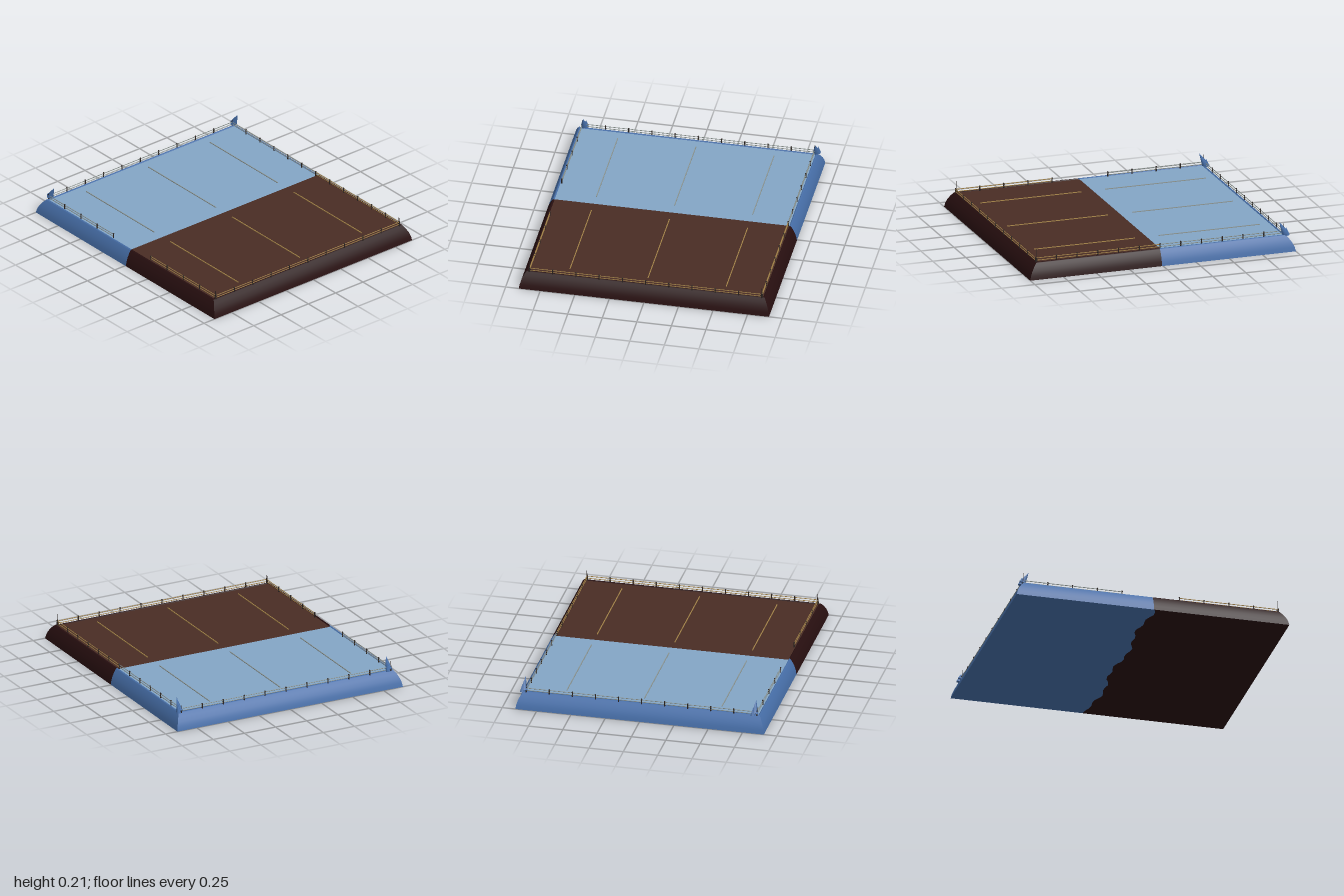
import * as THREE from 'three';

const mat = (name, color) => {
  const m = new THREE.MeshStandardMaterial({ color, side: THREE.DoubleSide });
  m.name = name;
  return m;
};

export function createModel() {
  const group = new THREE.Group();
  const iceDeck = mat('pale blue', 0x83a5c6);
  const iceWall = mat('blue', 0x476fa9);
  const fireDeck = mat('brown', 0x492d24);
  const fireWall = mat('dark maroon', 0x280f10);
  const gold = mat('gold', 0xa58448);
  const silver = mat('silver grey', 0x8b9490);
  const iron = mat('dark iron', 0x2b2320);

  const add = (name, geo, material, x = 0, y = 0, z = 0) => {
    const m = new THREE.Mesh(geo, material);
    m.name = name;
    m.position.set(x, y, z);
    group.add(m);
    return m;
  };
  // thin round bar between two points
  const bar = (name, a, b, r, material) => {
    const d = b.clone().sub(a);
    const c = a.clone().add(b).multiplyScalar(0.5);
    const m = add(name, new THREE.CylinderGeometry(r, r, d.length(), 6), material, c.x, c.y, c.z);
    m.quaternion.setFromUnitVectors(new THREE.Vector3(0, 1, 0), d.normalize());
  };
  const V = (x, y, z) => new THREE.Vector3(x, y, z);

  // Curved wall profile: [inset in x, inset in z, height]
  const profile = [[0, 0, 0], [0.007, 0.005, 0.03], [0.02, 0.014, 0.06], [0.04, 0.028, 0.09],
    [0.06, 0.042, 0.112], [0.066, 0.046, 0.117], [0.074, 0.054, 0.117], [0.078, 0.058, 0.108]];
  const X = 1, Z = 0.905, seam = 0.008;

  // One wall panel swept along the profile between two plan corners
  const wall = (name, corners, material) => {
    const pos = [], idx = [];
    profile.forEach(([ix, iz, y], i) => {
      for (const [x, z] of corners) {
        const px = Math.abs(x) === X ? x - Math.sign(x) * ix : x;
        pos.push(px, y, z - Math.sign(z) * iz);
      }
      if (i) {
        const a = 2 * i - 2;
        idx.push(a, a + 1, a + 3, a, a + 3, a + 2);
      }
    });
    const g = new THREE.BufferGeometry();
    g.setAttribute('position', new THREE.Float32BufferAttribute(pos, 3));
    g.setIndex(idx);
    g.computeVertexNormals();
    add(name, g, material);
  };

  // Irregular seam under the base
  const seamX = (z) => 0.02 * Math.sin(z * 9) + 0.012 * Math.sin(z * 31 + 1);

  for (const s of [-1, 1]) {
    const side = s < 0 ? 'ice' : 'fire';
    const wallMat = s < 0 ? iceWall : fireWall;
    const trim = s < 0 ? silver : gold;

    // walls, ordered so that they face outward
    const front = [[seam, Z], [s * X, Z]], back = [[s * X, -Z], [seam, -Z]];
    wall(side + 'FrontWall', s > 0 ? front : front.reverse(), wallMat);
    wall(side + 'BackWall', s > 0 ? back : back.reverse(), wallMat);
    wall(side + 'SideWall', [[s * X, s * Z], [s * X, -s * Z]], wallMat);

    // deck
    const deck = add(side + 'Deck', new THREE.PlaneGeometry(0.93, 2 * 0.853), s < 0 ? iceDeck : fireDeck,
      s * 0.465, 0.112, 0);
    deck.rotation.x = -Math.PI / 2;

    // underside
    const shape = new THREE.Shape();
    shape.moveTo(s * X, -Z);
    for (let i = 0; i <= 40; i++) {
      const z = -Z + 2 * Z * i / 40;
      shape.lineTo(seamX(z), z);
    }
    shape.lineTo(s * X, Z);
    add(side + 'Underside', new THREE.ShapeGeometry(shape), wallMat).rotation.x = Math.PI / 2;

    // inlaid deck lines
    for (const z of [-0.565, 0, 0.565]) {
      add(side + 'DeckLine', new THREE.BoxGeometry(0.76, 0.006, 0.006), trim, s * 0.47, 0.114, z);
    }

    // railings: side, back half, and front half with a central entrance
    const rx = s * 0.937, rz = 0.84;
    const runs = [
      [V(rx, 0, rz), V(rx, 0, -rz), 10],
      [V(rx, 0, -rz), V(0, 0, -rz), 6],
      [V(rx, 0, rz), V(s * 0.21, 0, rz), 4],
    ];
    for (const [a, b, n] of runs) {
      for (const [y, r] of [[0.142, 0.0028], [0.125, 0.0028]]) {
        bar(side + 'Rail', a.clone().setY(y), b.clone().setY(y), r, trim);
      }
      for (let i = 0; i <= n; i++) {
        const p = a.clone().lerp(b, i / n);
        add(side + 'Post', new THREE.CylinderGeometry(0.004, 0.005, 0.036, 6), iron, p.x, 0.128, p.z);
        add(side + 'PostCap', new THREE.SphereGeometry(0.006, 6, 4), iron, p.x, 0.146, p.z);
      }
    }

    // corner ornaments: crystals on the ice side, slim spikes on the fire side
    for (const sz of [-1, 1]) {
      const z = sz < 0 ? -0.855 : 0.825;
      if (s > 0) {
        add('cornerSpike', new THREE.ConeGeometry(0.005, 0.1, 6), iron, 0.932, 0.162, sz * 0.84);
        add('spikeBase', new THREE.CylinderGeometry(0.008, 0.01, 0.025, 6), iron, 0.932, 0.124, sz * 0.84);
      } else {
        const big = add('largeCrystal', new THREE.ConeGeometry(0.026, 0.1, 5), iceWall, -0.916, 0.171, z);
        big.rotation.z = -0.5;
        const small = add('smallCrystal', new THREE.ConeGeometry(0.018, 0.06, 5), iceWall, -0.945, 0.146, z - 0.012);
        small.rotation.z = -0.2;
        add('crystalPin', new THREE.ConeGeometry(0.004, 0.09, 6), iron, -0.932, 0.157, sz * 0.84);
      }
    }
  }
  return group;
}
